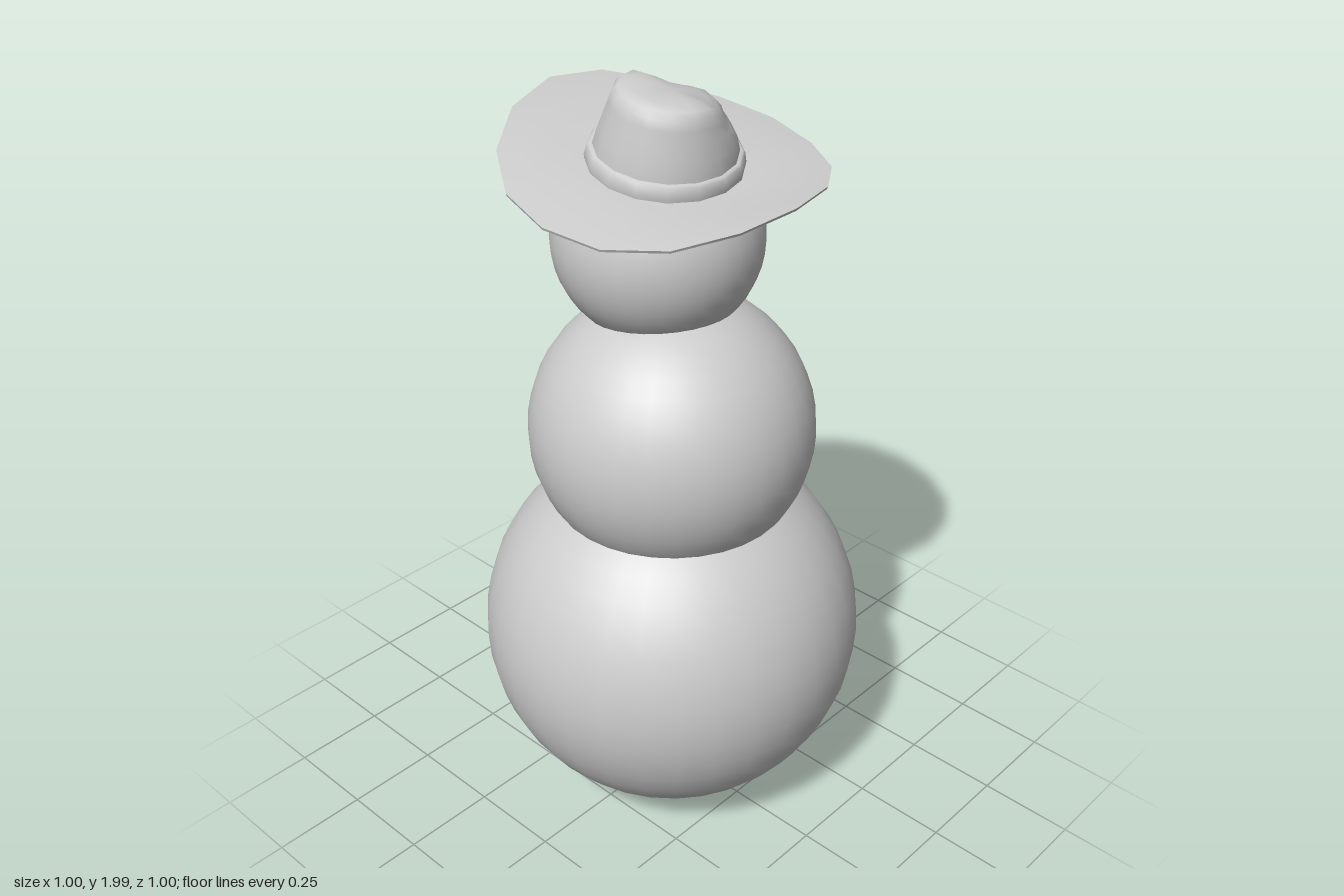
import * as THREE from 'three';
import { toCreasedNormals } from 'three/addons/utils/BufferGeometryUtils.js';

export function createModel() {
  const model = new THREE.Group();
  const grey = new THREE.MeshStandardMaterial({ color: 0xcccccc });
  grey.name = 'plainGrey';

  function add(name, geometry, parent = model) {
    const mesh = new THREE.Mesh(geometry, grey);
    mesh.name = name;
    parent.add(mesh);
    return mesh;
  }

  // Three stacked snowballs
  const base = { c: new THREE.Vector3(0, 0.503, 0), r: 0.502 };
  const chest = { c: new THREE.Vector3(0.01, 1.1, 0.01), r: 0.364 };
  const head = { c: new THREE.Vector3(-0.046, 1.595, 0), r: 0.26 };
  for (const [name, ball] of Object.entries({ base, chest, head })) {
    add(name + 'Snowball', new THREE.SphereGeometry(ball.r, 32, 24)).position.copy(ball.c);
  }

  // Flattened stone resting on a ball, facing outwards along dir
  function stone(name, ball, dir, w, h) {
    const d = new THREE.Vector3(...dir).normalize();
    const mesh = add(name, new THREE.SphereGeometry(1, 14, 10));
    mesh.scale.set(w, h, 0.014);
    mesh.position.copy(ball.c).addScaledVector(d, ball.r);
    mesh.lookAt(mesh.position.clone().add(d));
  }

  // Eyes, mouth and buttons look towards -z
  for (const s of [-1, 1]) stone('eye', head, [s * 0.43, 0.45, -0.78], 0.028, 0.036);
  const mouth = [[-0.46, 0, -0.88], [-0.27, -0.2, -0.94], [0.02, -0.26, -0.965],
    [0.22, -0.14, -0.965], [0.41, 0, -0.91]];
  mouth.forEach((d) => stone('mouthStone', head, d, 0.021, 0.017));
  stone('button', chest, [-0.08, 0.65, -0.75], 0.042, 0.036);
  stone('button', chest, [-0.1, 0.45, -0.89], 0.028, 0.036);
  stone('button', chest, [-0.08, 0.22, -0.97], 0.019, 0.027);
  stone('button', chest, [-0.06, -0.04, -0.99], 0.035, 0.033);

  // Carrot nose, base buried in the head
  const from = new THREE.Vector3(-0.038, 1.652, -0.23);
  const along = new THREE.Vector3(-0.025, 1.668, -0.375).sub(from);
  const nose = add('nose', new THREE.CylinderGeometry(0.004, 0.022, along.length(), 12));
  nose.position.copy(from).addScaledVector(along, 0.5);
  nose.quaternion.setFromUnitVectors(new THREE.Vector3(0, 1, 0), along.clone().normalize());

  // Tilted hat, each part a lathe bent by a rule
  const hat = new THREE.Group();
  hat.name = 'hat';
  hat.position.set(-0.005, 1.79, 0.018);
  hat.rotation.set(0.075, 0, -0.17);
  model.add(hat);

  function hatPart(name, profile, bend) {
    const g = new THREE.LatheGeometry(profile.map(([x, y]) => new THREE.Vector2(x, y)), 16);
    const p = g.attributes.position;
    const v = new THREE.Vector3();
    for (let i = 0; i < p.count; i++) {
      v.fromBufferAttribute(p, i);
      if (bend) bend(v);
      p.setXYZ(i, v.x, v.y, v.z);
    }
    add(name, toCreasedNormals(g, 0.8), hat);
  }

  // Brim: rolled up at the sides, dipping slightly at front and back
  const brim = [[0.12, -0.012], [0.19, -0.012], [0.26, -0.011], [0.33, -0.009], [0.384, -0.005],
    [0.386, 0.002], [0.33, 0.003], [0.26, 0.003], [0.19, 0.003], [0.12, 0.003]];
  hatPart('hatBrim', brim, (v) => {
    const r = Math.hypot(v.x, v.z);
    const w = Math.max(0, (r - 0.17) / 0.215) ** 1.5;
    v.y += w * (-0.02 + 0.077 * Math.abs(v.x / r) ** 3);
  });

  hatPart('hatBand', [[0.17, -0.005], [0.186, 0], [0.187, 0.012], [0.182, 0.036],
    [0.177, 0.041], [0.165, 0.041]]);

  // Crown: tapered, lower at the face side, with two finger pinches
  const crown = [[0.175, 0], [0.17, 0.04], [0.16, 0.08], [0.148, 0.12], [0.139, 0.15],
    [0.132, 0.174], [0.118, 0.188], [0.09, 0.193], [0.05, 0.19], [0, 0.187]];
  hatPart('hatCrown', crown, (v) => {
    const t = THREE.MathUtils.smoothstep(v.y, 0.06, 0.18);
    const front = THREE.MathUtils.smoothstep(-v.z, -0.02, 0.13);
    const pinch = Math.exp(-((Math.abs(v.x) - 0.09) ** 2 + (v.z + 0.08) ** 2) / 0.003);
    v.y -= t * (0.045 * front + 0.015 * pinch);
    v.x *= 1 - 0.12 * t * pinch;
  });

  return model;
}
